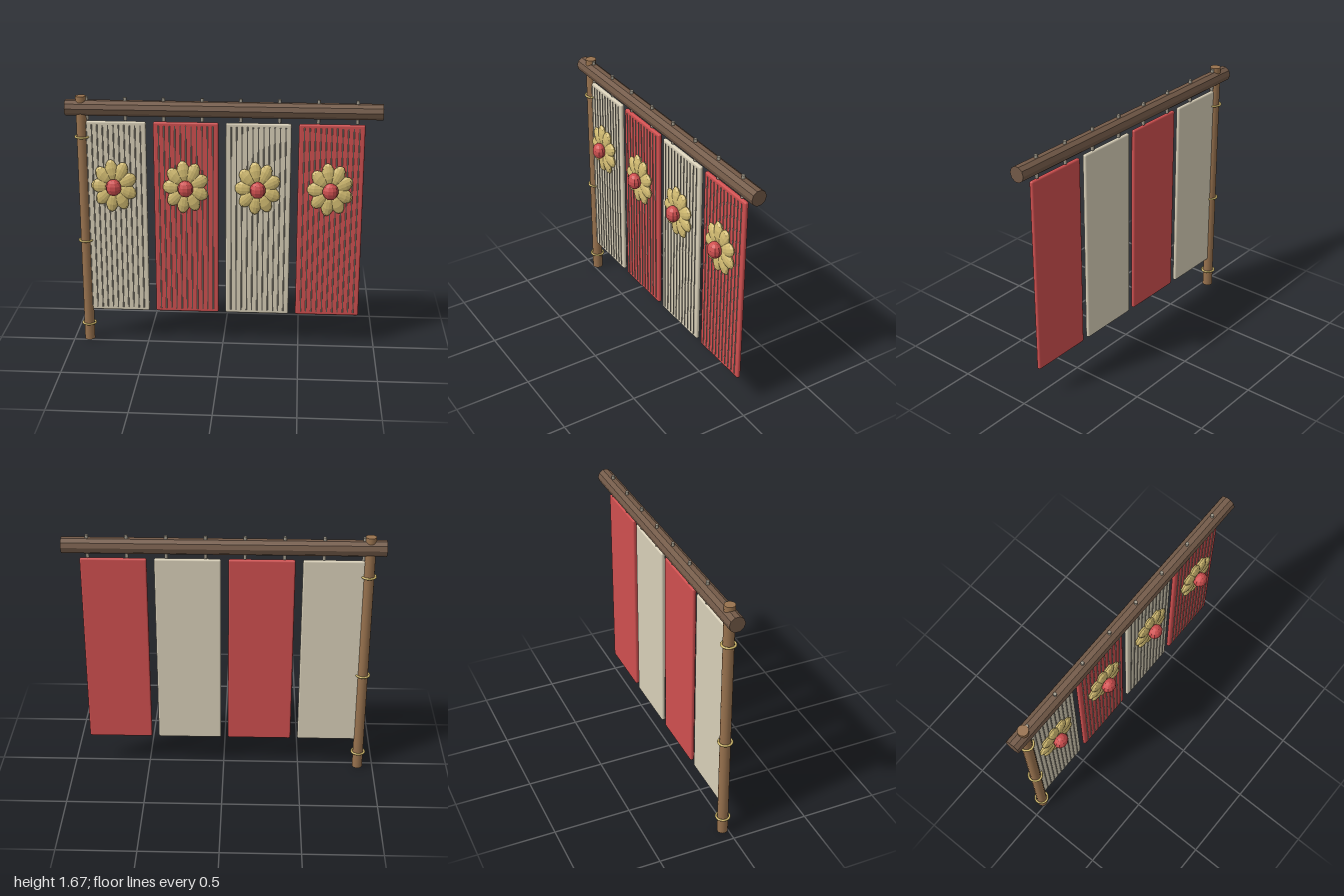
import * as THREE from 'three';
import { RoundedBoxGeometry } from 'three/addons/geometries/RoundedBoxGeometry.js';

const mat = (color, flatShading = false) => {
  const m = new THREE.MeshStandardMaterial({ color });
  m.flatShading = flatShading;
  return m;
};

const MID_Z = -0.031; // plane shared by post, beam and panels

export function createModel() {
  const root = new THREE.Group();
  const darkWood = mat(0x735a48, true);
  const wood = mat(0x98724e);
  const cream = mat(0xd8cfb8);
  const red = mat(0xcf4f4f);
  const redFacet = mat(0xcf4f4f, true);
  const gold = mat(0xd2ba6c);
  const goldFacet = mat(0xd6bf74, true);
  const cord = mat(0xa09a8c);

  const add = (parent, name, geometry, material, x = 0, y = 0, z = 0) => {
    const mesh = new THREE.Mesh(geometry, material);
    mesh.name = name;
    mesh.position.set(x, y, z);
    parent.add(mesh);
    return mesh;
  };

  // Upright post with binding rings
  const postX = -0.9;
  add(root, 'post', new THREE.CylinderGeometry(0.034, 0.034, 1.67, 16), wood, postX, 0.835, MID_Z);
  for (const y of [0.115, 0.705, 1.405]) {
    const ring = add(root, 'postRing', new THREE.TorusGeometry(0.042, 0.007, 8, 24), gold, postX, y, MID_Z);
    ring.rotation.x = Math.PI / 2;
  }

  // Faceted crossbeam
  const beam = add(root, 'crossbeam', new THREE.CylinderGeometry(0.051, 0.051, 2, 10), darkWood, 0, 1.595, MID_Z);
  beam.rotation.z = Math.PI / 2;

  // Pegs through the beam that hold the panels
  const pegGeometry = new THREE.CylinderGeometry(0.011, 0.011, 0.15, 8);
  for (let i = 0; i < 8; i++) {
    add(root, 'hangingPeg', pegGeometry, cord, -0.863 + i * 0.2435, 1.59, MID_Z - 0.002);
  }

  // Hanging panels: slab, thin ribs on the front, flower ornament
  const slabGeometry = new RoundedBoxGeometry(0.415, 1.295, 0.027, 2, 0.011);
  const ribGeometry = new THREE.CylinderGeometry(0.0045, 0.0045, 1.25, 6);
  const ballGeometry = new THREE.SphereGeometry(1, 10, 7);
  for (let p = 0; p < 4; p++) {
    const panel = new THREE.Group();
    panel.name = 'hangingPanel';
    panel.position.set(-0.698 + p * 0.461, 0, 0);
    root.add(panel);
    add(panel, 'panelSlab', slabGeometry, p % 2 ? red : cream, 0, 0.8625, MID_Z);
    for (let i = -5; i <= 5; i++) {
      add(panel, 'panelRib', ribGeometry, cord, i * 0.0345, 0.8625, -0.0175);
    }

    // Flower, slightly taller than wide
    const flower = new THREE.Group();
    flower.name = 'flower';
    flower.position.set(0, 1.09, 0);
    flower.scale.set(0.84, 1, 1);
    panel.add(flower);
    for (let i = 0; i < 9; i++) {
      const angle = Math.PI + (i * Math.PI * 2) / 9;
      const petal = add(flower, 'petal', ballGeometry, goldFacet,
        Math.cos(angle) * 0.1, Math.sin(angle) * 0.1, 0);
      petal.scale.set(0.078, 0.05, 0.023);
      petal.rotation.z = angle;
    }
    const heart = add(panel, 'flowerCentre', ballGeometry, redFacet, 0, 1.09, 0.039);
    heart.scale.set(0.051, 0.055, 0.042);
  }
  return root;
}
